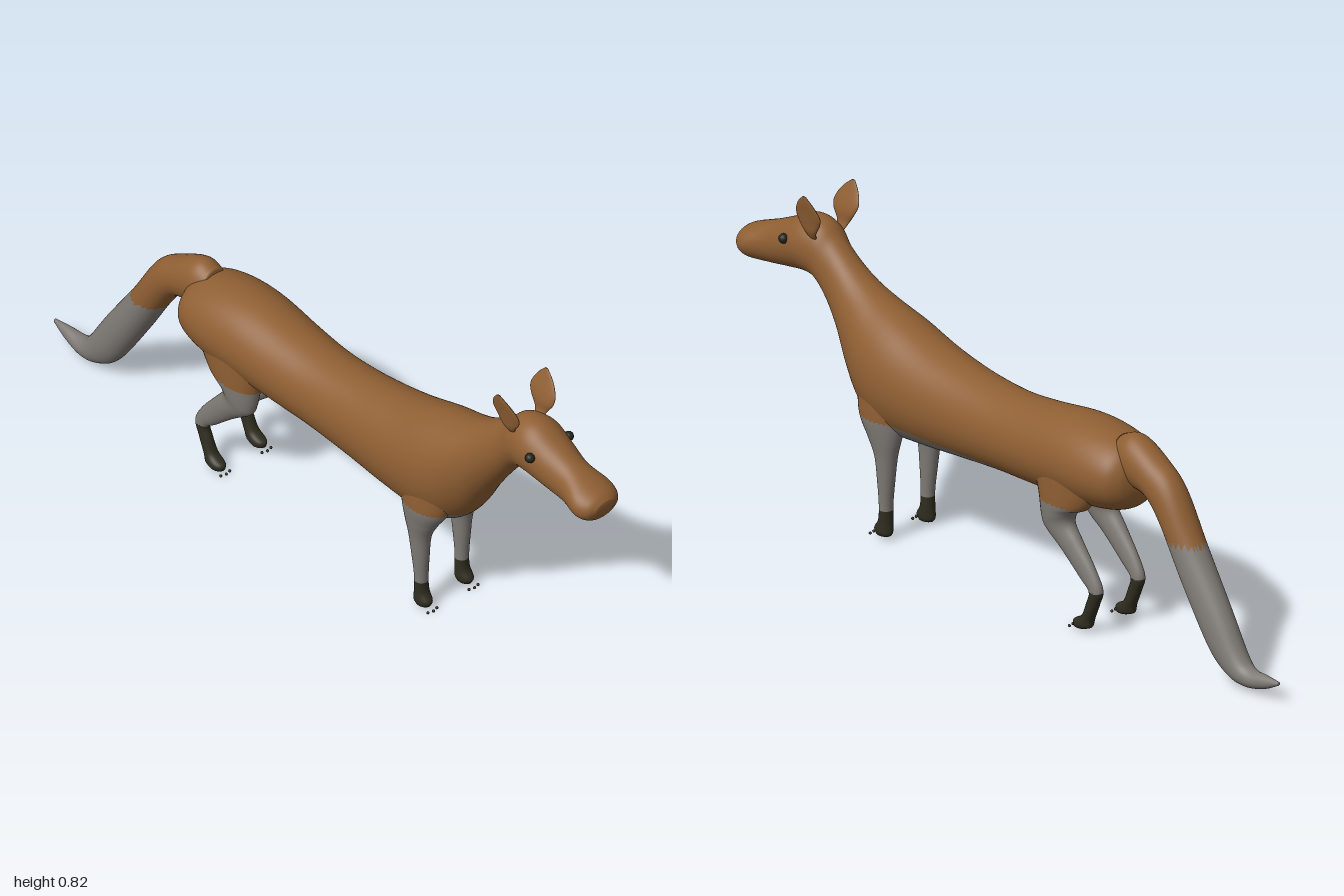
import * as THREE from 'three';

const mat = (name, color) => {
  const m = new THREE.MeshStandardMaterial({ color });
  m.name = name;
  return m;
};

// Smooth skin through oval sections [z1, y1, z2, y2, x, halfWidth].
// (z1,y1) and (z2,y2) are opposite edges of the oval in the side plane.
// pick(y) gives the material index for each height.
function loft(name, sections, materials, pick, steps = 6, sides = 32) {
  const edgeA = new THREE.CatmullRomCurve3(
    sections.map(s => new THREE.Vector3(s[4], s[1], s[0])), false, 'catmullrom', 0.5);
  const edgeB = new THREE.CatmullRomCurve3(
    sections.map(s => new THREE.Vector3(s[5], s[3], s[2])), false, 'catmullrom', 0.5);
  const rows = (sections.length - 1) * steps;
  const pos = [];
  const centre = [];
  for (let i = 0; i <= rows; i++) {
    const a = edgeA.getPoint(i / rows), b = edgeB.getPoint(i / rows);
    const cy = (a.y + b.y) / 2, cz = (a.z + b.z) / 2;
    centre.push([a.x, cy, cz]);
    for (let j = 0; j < sides; j++) {
      const t = j / sides * Math.PI * 2, c = Math.cos(t);
      pos.push(a.x + b.x * Math.sin(t), cy + (a.y - b.y) / 2 * c, cz + (a.z - b.z) / 2 * c);
    }
  }
  const first = pos.length / 3, last = first + 1;
  pos.push(...centre[0], ...centre[rows]);

  // Sort the faces by material
  const faces = materials.map(() => []);
  const add = (a, b, c) => {
    const y = (pos[a * 3 + 1] + pos[b * 3 + 1] + pos[c * 3 + 1]) / 3;
    faces[pick(y)].push(a, b, c);
  };
  for (let j = 0; j < sides; j++) {
    const k = (j + 1) % sides;
    add(first, j, k);
    for (let i = 0; i < rows; i++) {
      const p = i * sides, q = p + sides;
      add(p + j, q + j, p + k);
      add(p + k, q + j, q + k);
    }
    add(last, rows * sides + k, rows * sides + j);
  }
  const geo = new THREE.BufferGeometry();
  geo.setAttribute('position', new THREE.Float32BufferAttribute(pos, 3));
  geo.setIndex(faces.flat());
  let start = 0;
  faces.forEach((f, i) => {
    if (f.length) geo.addGroup(start, f.length, i);
    start += f.length;
  });
  geo.computeVertexNormals();
  const mesh = new THREE.Mesh(geo, materials);
  mesh.name = name;
  return mesh;
}

export function createModel() {
  const fur = mat('brownFur', 0x8f5f33);
  const grey = mat('greyFur', 0x7f7a75);
  const dark = mat('darkPaw', 0x2f2d1f);
  const eyeMat = mat('eyeBlack', 0x22221c);
  const coat = [fur, grey, dark];
  const furLine = y => (y < 0.323 ? 1 : 0);
  const model = new THREE.Group();
  model.name = 'animal';

  // Body, neck and head: [zTop, yTop, zBottom, yBottom, halfWidth]
  const spine = [
    [-0.488, 0.45, -0.488, 0.40, 0.03],
    [-0.475, 0.49, -0.475, 0.365, 0.07],
    [-0.44, 0.52, -0.44, 0.34, 0.10],
    [-0.36, 0.538, -0.36, 0.322, 0.115],
    [-0.26, 0.54, -0.26, 0.315, 0.115],
    [-0.12, 0.52, -0.12, 0.305, 0.106],
    [0, 0.51, 0, 0.298, 0.10],
    [0.14, 0.518, 0.14, 0.285, 0.103],
    [0.28, 0.54, 0.28, 0.272, 0.114],
    [0.40, 0.575, 0.40, 0.265, 0.119],
    [0.49, 0.60, 0.47, 0.282, 0.108],
    [0.56, 0.63, 0.53, 0.335, 0.085],
    [0.615, 0.665, 0.59, 0.43, 0.065],
    [0.66, 0.70, 0.65, 0.515, 0.056],
    [0.70, 0.733, 0.70, 0.572, 0.062],
    [0.76, 0.737, 0.745, 0.585, 0.069],
    [0.82, 0.708, 0.815, 0.575, 0.062],
    [0.88, 0.68, 0.885, 0.562, 0.054],
    [0.94, 0.655, 0.95, 0.557, 0.067],
    [0.98, 0.638, 0.98, 0.565, 0.055],
    [0.998, 0.622, 0.995, 0.59, 0.03],
  ].map(([a, b, c, d, w]) => [a, b, c, d, 0, w]);
  model.add(loft('body', spine, coat, furLine, 6, 96));

  // Tail, from the tip up to the rump
  model.add(loft('tail', [
    [-0.999, 0.058, -0.999, 0.048, 0, 0.005],
    [-0.95, 0.06, -0.95, 0.024, 0, 0.016],
    [-0.90, 0.06, -0.89, 0.010, 0, 0.026],
    [-0.865, 0.088, -0.83, 0.020, 0, 0.034],
    [-0.80, 0.19, -0.765, 0.065, 0, 0.041],
    [-0.70, 0.335, -0.67, 0.205, 0, 0.046],
    [-0.62, 0.46, -0.59, 0.335, 0, 0.048],
    [-0.55, 0.51, -0.54, 0.395, 0, 0.05],
    [-0.47, 0.548, -0.48, 0.41, 0, 0.052],
    [-0.42, 0.535, -0.42, 0.42, 0, 0.045],
  ], coat, furLine, 8, 40));

  // Legs, from the shoulder or hip down to the paw
  const frontLeg = [
    [0.50, 0.38, 0.33, 0.38, 0.06, 0.05],
    [0.487, 0.32, 0.34, 0.32, 0.066, 0.045],
    [0.455, 0.27, 0.352, 0.27, 0.07, 0.034],
    [0.43, 0.22, 0.365, 0.22, 0.07, 0.026],
    [0.422, 0.15, 0.375, 0.15, 0.069, 0.021],
    [0.418, 0.09, 0.382, 0.09, 0.068, 0.018],
    [0.42, 0.05, 0.382, 0.05, 0.068, 0.019],
    [0.435, 0.025, 0.38, 0.02, 0.069, 0.02],
    [0.43, 0.01, 0.385, 0.01, 0.069, 0.016],
  ];
  const hindLeg = [
    [-0.15, 0.42, -0.42, 0.42, 0.065, 0.045],
    [-0.185, 0.34, -0.36, 0.33, 0.068, 0.042],
    [-0.20, 0.27, -0.32, 0.31, 0.07, 0.036],
    [-0.215, 0.24, -0.305, 0.275, 0.07, 0.03],
    [-0.27, 0.20, -0.335, 0.235, 0.07, 0.024],
    [-0.34, 0.14, -0.385, 0.175, 0.069, 0.018],
    [-0.37, 0.115, -0.412, 0.125, 0.068, 0.016],
    [-0.36, 0.08, -0.40, 0.085, 0.068, 0.016],
    [-0.345, 0.045, -0.38, 0.04, 0.068, 0.018],
    [-0.315, 0.025, -0.375, 0.018, 0.069, 0.02],
    [-0.315, 0.01, -0.36, 0.01, 0.069, 0.017],
  ];
  // Ear, from the tip down to the base
  const ear = [
    [0.70, 0.823, 0.688, 0.823, 0.08, 0.002],
    [0.726, 0.80, 0.668, 0.80, 0.073, 0.005],
    [0.744, 0.77, 0.655, 0.77, 0.063, 0.008],
    [0.742, 0.745, 0.664, 0.745, 0.057, 0.009],
    [0.725, 0.72, 0.68, 0.72, 0.054, 0.007],
    [0.715, 0.70, 0.69, 0.70, 0.045, 0.005],
  ];
  const claw = new THREE.SphereGeometry(0.004, 8, 6);
  const eyeball = new THREE.SphereGeometry(0.013, 16, 12);
  const mirror = (list, s) => list.map(p => [...p.slice(0, 4), p[4] * s, p[5]]);

  for (const [side, s] of [['left', 1], ['right', -1]]) {
    model.add(loft(side + 'FrontLeg', mirror(frontLeg, s), coat,
      y => (y < 0.08 ? 2 : furLine(y)), 8));
    model.add(loft(side + 'HindLeg', mirror(hindLeg, s), coat,
      y => (y < 0.118 ? 2 : furLine(y)), 8));
    model.add(loft(side + 'Ear', mirror(ear, s), [fur], () => 0, 5, 24));

    const eye = new THREE.Mesh(eyeball, eyeMat);
    eye.name = side + 'Eye';
    eye.position.set(s * 0.065, 0.675, 0.79);
    model.add(eye);

    // Three small claws before each paw
    for (const [end, z] of [['Front', 0.445], ['Hind', -0.305]]) {
      for (let i = -1; i <= 1; i++) {
        const tip = new THREE.Mesh(claw, dark);
        tip.name = side + end + 'Claw';
        tip.position.set(s * 0.069 + i * 0.015, 0.005, z - Math.abs(i) * 0.004);
        model.add(tip);
      }
    }
  }
  return model;
}
